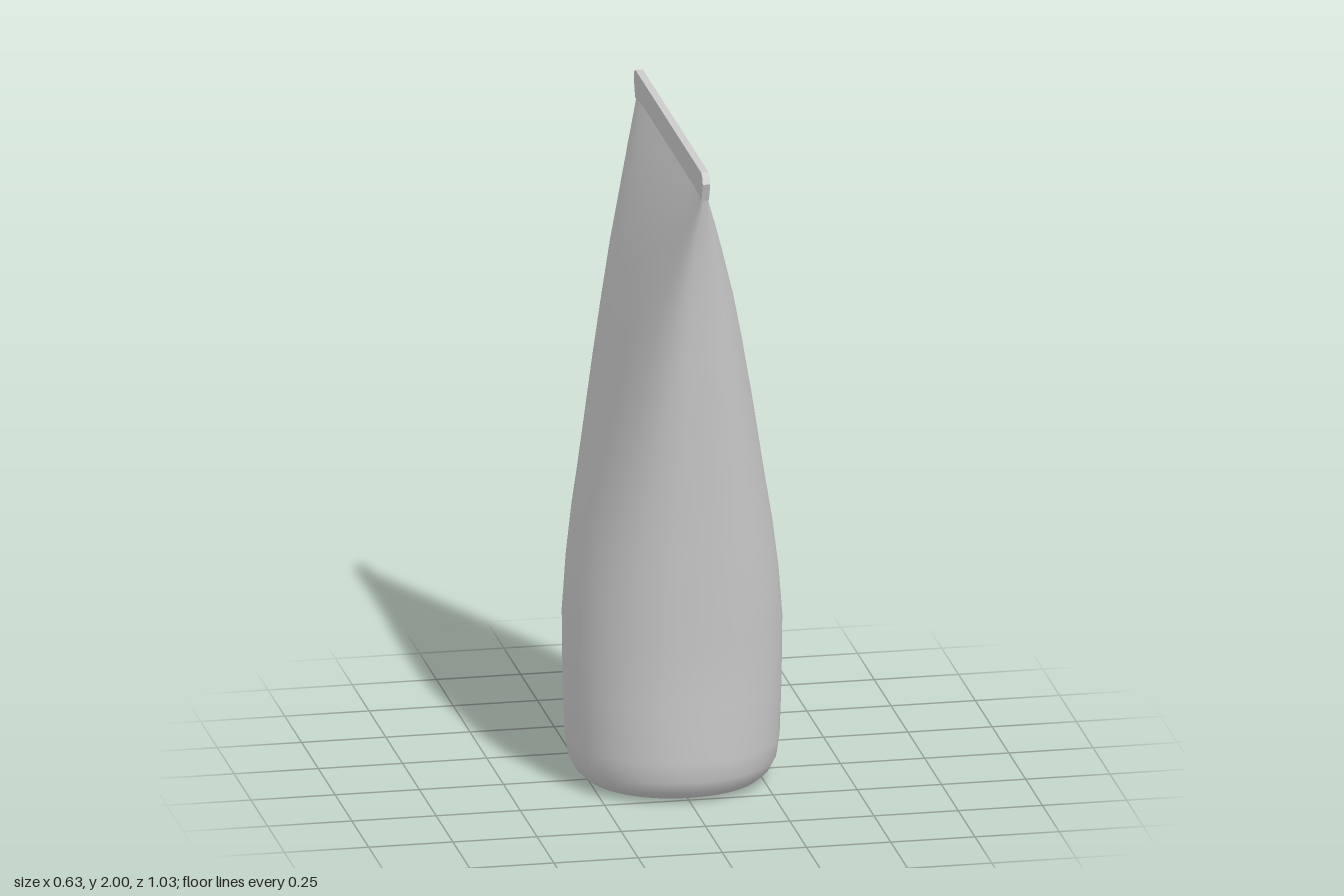
import * as THREE from 'three';
import { toCreasedNormals } from 'three/addons/utils/BufferGeometryUtils.js';

// Cross-sections of the tube: height, half width x, half depth z, squareness
const SECTIONS = [
  [0, 0.001, 0.001, 2], [0, 0.225, 0.23, 2.1], [0.012, 0.26, 0.265, 2.1],
  [0.035, 0.285, 0.292, 2.1], [0.07, 0.303, 0.308, 2.1], [0.13, 0.312, 0.315, 2.1],
  [0.3, 0.317, 0.318, 2.15], [0.5, 0.317, 0.336, 2.25], [0.65, 0.303, 0.352, 2.35],
  [0.8, 0.282, 0.366, 2.45], [1.0, 0.246, 0.386, 2.6], [1.2, 0.211, 0.408, 2.75],
  [1.4, 0.172, 0.428, 2.9], [1.55, 0.138, 0.442, 3.1], [1.7, 0.095, 0.459, 3.4],
  [1.8, 0.062, 0.474, 3.8], [1.87, 0.034, 0.486, 4.5], [1.93, 0.009, 0.497, 6],
];

// Lofts superellipse rings, round at the base and flattening towards the seal
function loftTube(sections, sides) {
  const positions = [], index = [];
  const power = (v, n) => Math.sign(v) * Math.abs(v) ** (2 / n);
  for (const [y, a, b, n] of sections) {
    for (let j = 0; j < sides; j++) {
      const t = (j / sides) * Math.PI * 2;
      positions.push(a * power(Math.cos(t), n), y, b * power(Math.sin(t), n));
    }
  }
  for (let i = 0; i < sections.length - 1; i++) {
    for (let j = 0; j < sides; j++) {
      const k = (j + 1) % sides;
      const a = i * sides + j, b = i * sides + k;
      const c = a + sides, d = b + sides;
      index.push(a, c, b, b, c, d);
    }
  }
  const geometry = new THREE.BufferGeometry();
  geometry.setAttribute('position', new THREE.Float32BufferAttribute(positions, 3));
  geometry.setIndex(index);
  return toCreasedNormals(geometry, 0.6);
}

export function createModel() {
  const model = new THREE.Group();
  model.name = 'squeezeTube';
  const material = new THREE.MeshStandardMaterial({ color: 0xcccccc });

  // Body
  const body = new THREE.Mesh(loftTube(SECTIONS, 56), material);
  body.name = 'tubeBody';
  model.add(body);

  // Flat crimped seal with clipped top corners
  const outline = new THREE.Shape([
    [-0.495, 1.915], [0.495, 1.915], [0.514, 1.97], [0.507, 1.99],
    [0.49, 2], [-0.49, 2], [-0.507, 1.99], [-0.514, 1.97],
  ].map(([u, v]) => new THREE.Vector2(u, v)));
  const sealGeometry = new THREE.ExtrudeGeometry(outline, { depth: 0.022, bevelEnabled: false });
  sealGeometry.translate(0, 0, -0.011).rotateY(Math.PI / 2);
  const seal = new THREE.Mesh(sealGeometry, material);
  seal.name = 'crimpedSeal';
  model.add(seal);

  return model;
}
